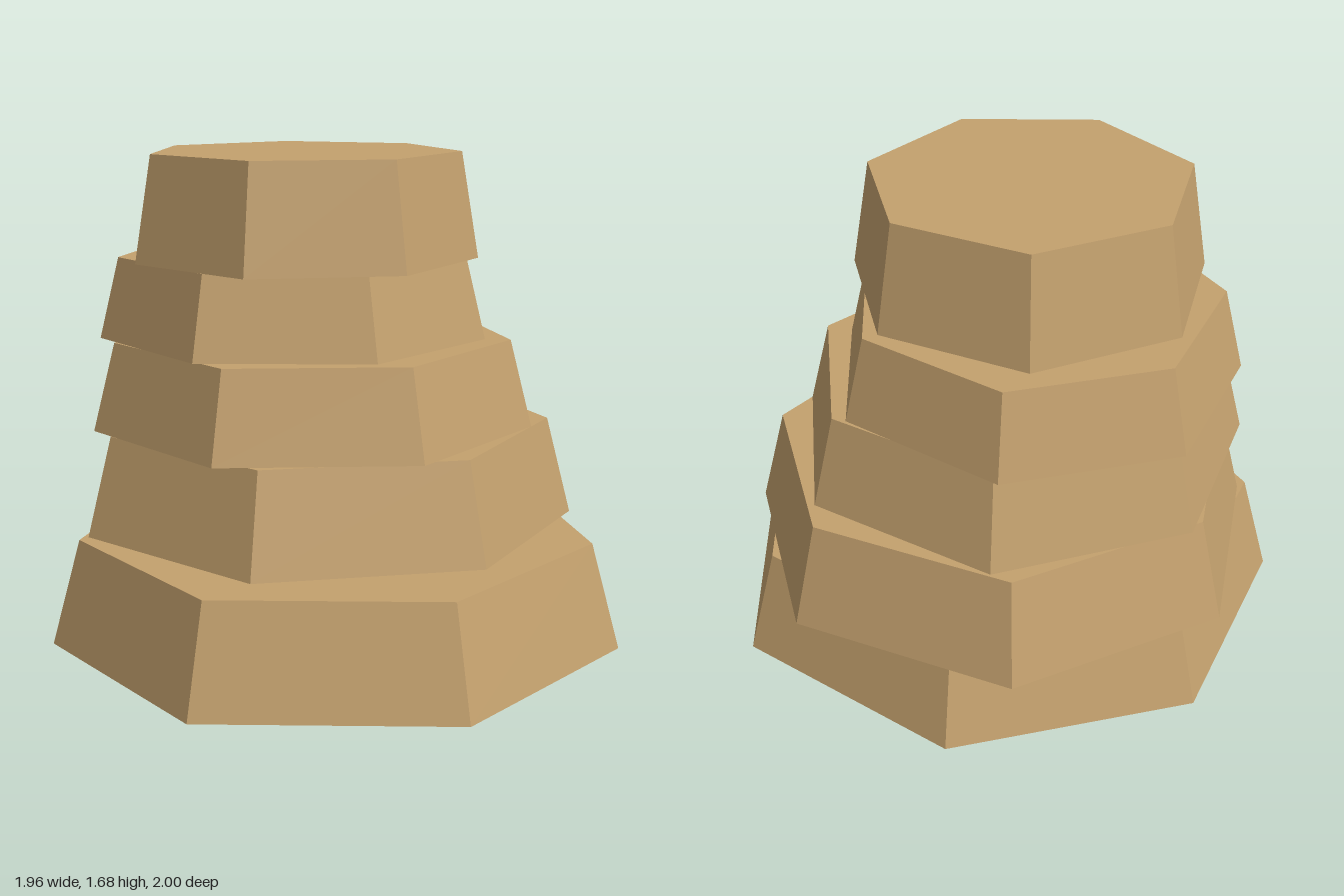
import * as THREE from 'three';

// Each tier: base height, top height, centre x, centre z, base radius, angle of first corner (degrees)
const TIERS = [
  [0.00, 0.37, -0.028, 0.057, 1.007, 7.6],
  [0.37, 0.72, -0.094, -0.149, 0.895, -4.6],
  [0.72, 1.03, -0.136, -0.117, 0.79, 3.7],
  [1.03, 1.315, -0.207, -0.161, 0.696, 7.4],
  [1.315, 1.685, -0.157, -0.068, 0.611, -2.3],
];
const TAPER = 0.9;
const SIDES = 7;

export function createModel() {
  const group = new THREE.Group();
  group.name = 'rockStack';
  const sandstone = new THREE.MeshStandardMaterial({ color: 0xc4a16e });
  sandstone.name = 'sandstone';
  sandstone.flatShading = true;

  // Tapered seven-sided slabs, each shifted and turned on the one below
  TIERS.forEach(([y0, y1, x, z, radius, angle], i) => {
    const start = THREE.MathUtils.degToRad(90 - angle);
    const slab = new THREE.Mesh(
      new THREE.CylinderGeometry(radius * TAPER, radius, y1 - y0, SIDES, 1, false, start),
      sandstone
    );
    slab.name = `rockTier${i + 1}`;
    slab.position.set(x, (y0 + y1) / 2, z);
    group.add(slab);
  });
  return group;
}
